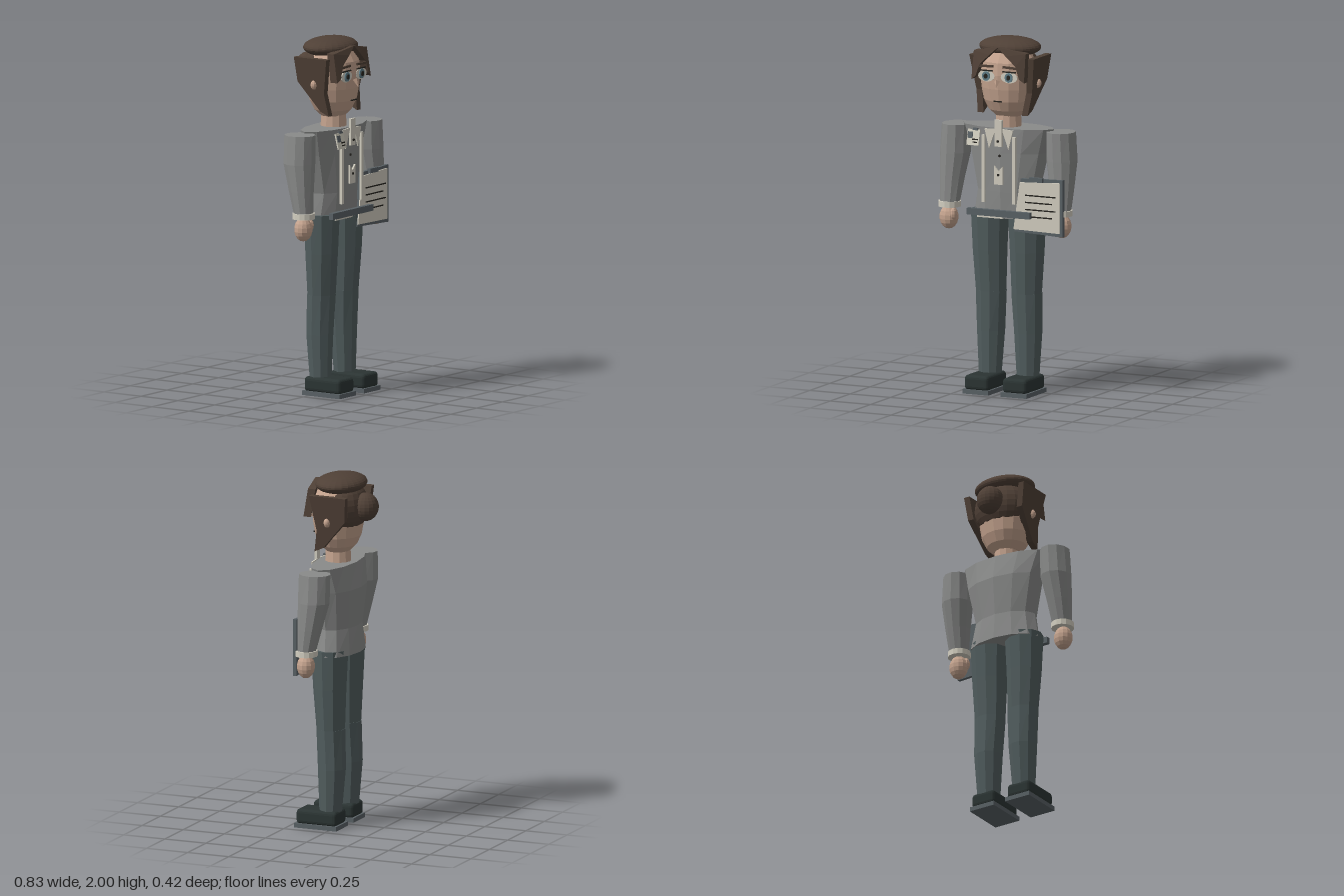
import * as THREE from 'three';
import { RoundedBoxGeometry } from 'three/addons/geometries/RoundedBoxGeometry.js';

function mat(name, color, double) {
  const m = new THREE.MeshStandardMaterial({ color, flatShading: true });
  m.name = name;
  if (double) m.side = THREE.DoubleSide;
  return m;
}

// Closed body through elliptical rings [y, cx, cz, rx, rz], listed from bottom to top
function loft(rings, n) {
  const pos = [], idx = [], last = rings.length - 1;
  for (const [y, cx, cz, rx, rz] of rings)
    for (let j = 0; j < n; j++) {
      const a = (j / n) * Math.PI * 2;
      pos.push(cx + Math.cos(a) * rx, y, cz + Math.sin(a) * rz);
    }
  for (const r of [rings[0], rings[last]]) pos.push(r[1], r[0], r[2]);
  const bottom = rings.length * n, top = bottom + 1;
  for (let j = 0; j < n; j++) {
    const k = (j + 1) % n;
    for (let i = 0; i < last; i++) {
      const a = i * n + j, b = i * n + k;
      idx.push(a, a + n, b, b, a + n, b + n);
    }
    idx.push(bottom, j, k, top, last * n + k, last * n + j);
  }
  const g = new THREE.BufferGeometry();
  g.setAttribute('position', new THREE.Float32BufferAttribute(pos, 3));
  g.setIndex(idx);
  g.computeVertexNormals();
  return g;
}

function plate(points, depth) {
  const shape = new THREE.Shape(points.map(([x, y]) => new THREE.Vector2(x, y)));
  return new THREE.ExtrudeGeometry(shape, { depth, bevelEnabled: false });
}

function bend(g, rule) {
  const p = g.attributes.position, v = new THREE.Vector3();
  for (let i = 0; i < p.count; i++) {
    rule(v.fromBufferAttribute(p, i));
    p.setXYZ(i, v.x, v.y, v.z);
  }
  g.computeVertexNormals();
  return g;
}

export function createModel() {
  const hair = mat('hair brown', 0x4f4036), skin = mat('skin', 0xc4a38e);
  const jacket = mat('jacket grey', 0x8a8b8a), trousers = mat('trouser slate', 0x515d5e);
  const leather = mat('shoe black', 0x2b3433), cream = mat('cream', 0xd2cec0);
  const slate = mat('dark grey', 0x596165), iris = mat('iris blue', 0x607d88);
  const ink = mat('ink', 0x25231f);

  const model = new THREE.Group();
  model.name = 'figure';
  const add = (name, geo, m, x = 0, y = 0, z = 0) => {
    const mesh = new THREE.Mesh(geo, m);
    mesh.name = name;
    mesh.position.set(x, y, z);
    model.add(mesh);
    return mesh;
  };
  const box = (name, m, x, y, z, w, h, d) => add(name, new THREE.BoxGeometry(w, h, d), m, x, y, z);
  const ball = (name, m, x, y, z, rx, ry, rz, n = 16) =>
    add(name, new THREE.SphereGeometry(1, n, Math.ceil(n * 0.7)).scale(rx, ry, rz), m, x, y, z);
  const disc = (name, m, x, y, z, rx, ry) =>
    add(name, new THREE.CylinderGeometry(1, 1, 0.006, 16).rotateX(Math.PI / 2).scale(rx, ry, 1), m, x, y, z);

  // Head and neck
  const headRings = [[1.56, 0.075], [1.595, 0.115], [1.65, 0.143], [1.72, 0.157], [1.8, 0.164],
    [1.87, 0.157], [1.93, 0.12], [1.96, 0.05]];
  add('head', loft(headRings.map(([y, r]) => [y, 0, 0.028, r, r * 0.88]), 16), skin);
  add('neck', new THREE.CylinderGeometry(0.068, 0.074, 0.12, 12), skin, 0, 1.53, 0.03);

  // Hair
  ball('hairCrown', hair, 0, 1.945, 0.01, 0.18, 0.055, 0.138, 24);
  ball('backHair', hair, 0, 1.81, -0.02, 0.168, 0.145, 0.116, 20);
  ball('hairBun', hair, 0, 1.82, -0.137, 0.077, 0.08, 0.073, 18);

  // Face
  add('nose', new THREE.ConeGeometry(0.017, 0.05, 4).rotateX(2.6).translate(0, 0, 0.01), skin, 0, 1.75, 0.175);
  box('mouth', ink, 0, 1.655, 0.166, 0.05, 0.006, 0.008);

  for (const s of [1, -1]) {
    const side = s > 0 ? 'left' : 'right';

    disc(side + 'Eye', cream, s * 0.07, 1.795, 0.166, 0.051, 0.031);
    disc(side + 'Iris', iris, s * 0.07, 1.795, 0.172, 0.024, 0.027);
    disc(side + 'Pupil', ink, s * 0.07, 1.795, 0.177, 0.011, 0.014);
    box(side + 'UpperLid', ink, s * 0.07, 1.826, 0.168, 0.08, 0.006, 0.01);
    box(side + 'Eyebrow', hair, s * 0.072, 1.85, 0.164, 0.085, 0.012, 0.012).rotation.z = s * -0.04;
    ball(side + 'Ear', skin, s * 0.172, 1.75, 0.02, 0.025, 0.028, 0.02, 10);

    // Parted fringe, leaning forward and curving round the forehead
    const fringe = [[0, 1.96], [0.16, 1.93], [0.163, 1.77], [0.135, 1.79], [0.11, 1.86], [0.05, 1.915]];
    add(side + 'Fringe', bend(plate(fringe.map(([x, y]) => [s * x, y]), 0.045), (v) => {
      v.z += 0.125 + (1.95 - v.y) * 0.17 - v.x * v.x * 1.2;
    }), hair);

    // Long lock at the temple, leaning in towards the jaw
    const lock = [[0.12, 1.9], [-0.1, 1.9], [-0.088, 1.76], [0.05, 1.6], [0.105, 1.575], [0.085, 1.7]];
    const lockGeo = plate(lock, 0.036).rotateY(-Math.PI / 2).translate(s > 0 ? 0.2 : -0.164, 0, 0);
    add(side + 'HairLock', bend(lockGeo, (v) => { v.x -= s * (1.9 - v.y) * 0.14; }), hair);

    // Arm: tapering sleeve, cuff, hand
    add(side + 'Sleeve', loft([[1.04, s * 0.345, 0.07, 0.056, 0.052], [1.18, s * 0.34, 0.05, 0.07, 0.07],
      [1.33, s * 0.33, 0.03, 0.087, 0.09], [1.49, s * 0.323, 0.028, 0.082, 0.09]], 11), jacket);
    add(side + 'Cuff', new THREE.CylinderGeometry(0.064, 0.064, 0.032, 14), cream, s * 0.346, 1.04, 0.07);
    ball(side + 'Hand', skin, s * 0.35, 0.965, 0.07, 0.054, 0.068, 0.05, 12);
    ball(side + 'Thumb', skin, s * 0.312, 0.985, 0.09, 0.02, 0.036, 0.022, 8);

    // Leg: thigh and shin meeting at the knee
    add(side + 'Thigh', loft([[0.555, s * 0.11, 0.026, 0.088, 0.078], [0.8, s * 0.115, 0.03, 0.1, 0.092],
      [1.02, s * 0.115, 0.03, 0.11, 0.103]], 10), trousers);
    add(side + 'Shin', loft([[0.08, s * 0.117, 0.024, 0.064, 0.062], [0.34, s * 0.115, 0.017, 0.08, 0.078],
      [0.565, s * 0.11, 0.025, 0.09, 0.08]], 10), trousers);

    // Shoe
    box(side + 'Sole', slate, s * 0.118, 0.0125, 0.082, 0.16, 0.025, 0.255);
    add(side + 'Shoe', new RoundedBoxGeometry(0.15, 0.085, 0.245, 2, 0.022), leather, s * 0.118, 0.062, 0.082);

    // Shirt collar wing and vertical strap
    add(side + 'CollarWing', plate([[s * 0.018, 1.5], [s * 0.088, 1.495], [s * 0.06, 1.385]], 0.008), cream, 0, 0, 0.148);
    box(side + 'Strap', cream, s * 0.095, 1.27, 0.152, 0.019, 0.38, 0.014);
  }

  // Jacket body
  add('jacketBody', loft([[0.99, 0, 0.013, 0.22, 0.118], [1.14, 0, 0.023, 0.19, 0.114],
    [1.36, 0, 0.015, 0.24, 0.125], [1.5, 0, 0.03, 0.28, 0.112]], 12), jacket);

  // Shirt front
  box('collarBand', cream, 0, 1.475, 0.157, 0.046, 0.15, 0.014);
  add('shirtTab', plate([[-0.026, 1.29], [0, 1.26], [0.026, 1.29], [0.026, 1.185], [-0.026, 1.185]], 0.01), cream, 0, 0, 0.15);
  for (const y of [1.43, 1.345, 1.24]) disc('button', ink, 0, y, y > 1.4 ? 0.166 : y > 1.3 ? 0.145 : 0.162, 0.007, 0.007);

  // Waist bar
  box('waistBar', slate, 0, 1.022, 0.15, 0.39, 0.036, 0.028);
  box('hemStrip', cream, -0.06, 0.996, 0.14, 0.16, 0.01, 0.01);

  // Name badge with portrait and rules
  const badge = new THREE.Group();
  badge.name = 'badge';
  const badgePart = (name, m, x, y, z, w, h, d) => badge.add(box(name, m, x, y, z, w, h, d));
  badgePart('badgeCard', cream, 0, 0, 0, 0.075, 0.09, 0.008);
  badgePart('badgePhoto', slate, -0.018, 0.012, 0.006, 0.03, 0.036, 0.004);
  badgePart('badgeRule', ink, 0.014, -0.012, 0.006, 0.034, 0.007, 0.004);
  badgePart('badgeRule', ink, 0.014, -0.028, 0.006, 0.026, 0.006, 0.004);
  badgePart('badgeClip', slate, 0.01, 0.046, 0.004, 0.03, 0.014, 0.012);
  badge.position.set(-0.145, 1.445, 0.178);
  badge.rotation.x = -0.25;
  model.add(badge);

  // Clipboard held at the left hip
  add('clipboard', plate([[0.125, 1.225], [0.385, 1.235], [0.385, 0.912], [0.085, 0.925]], 0.02), slate, 0, 0, 0.112);
  add('paper', plate([[0.122, 1.205], [0.368, 1.218], [0.368, 0.932], [0.083, 0.938]], 0.007), cream, 0, 0, 0.132);
  box('clip', slate, 0.225, 1.226, 0.14, 0.08, 0.026, 0.018);
  [1.135, 1.095, 1.055, 1.015].forEach((y, i) =>
    box('paperRule', ink, 0.25 - (i % 2) * 0.012, y, 0.14, 0.19 - (i % 2) * 0.024, 0.007, 0.004));

  return model;
}
